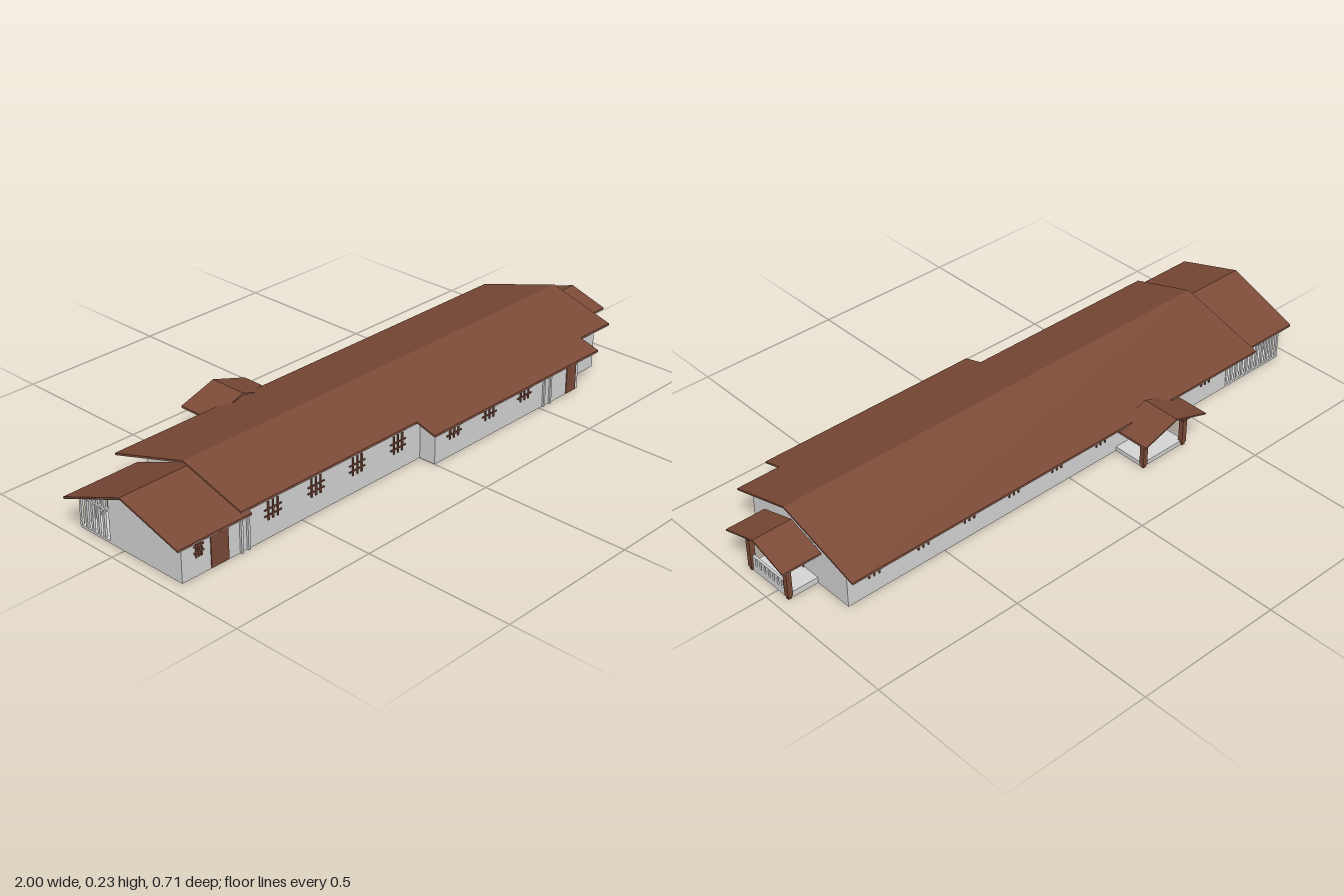
import * as THREE from 'three';

const mat = (name, color, side = THREE.FrontSide) => {
  const m = new THREE.MeshStandardMaterial({ color, side });
  m.name = name;
  return m;
};

export function createModel() {
  const wall = mat('pale grey plaster', 0xd6d6d6);
  const brown = mat('red brown', 0x7c4a37);
  const blue = mat('sign blue', 0x0e2872);
  const model = new THREE.Group();
  model.name = 'longHouse';

  const add = (parent, name, geo, material) => {
    const m = new THREE.Mesh(geo, material);
    m.name = name;
    parent.add(m);
    return m;
  };
  // Box given by its limits on each axis
  const box = (parent, name, x0, x1, y0, y1, z0, z1, material) =>
    add(parent, name, new THREE.BoxGeometry(x1 - x0, y1 - y0, z1 - z0), material)
      .position.set((x0 + x1) / 2, (y0 + y1) / 2, (z0 + z1) / 2);
  const shapeOf = pts => new THREE.Shape(pts.map(p => new THREE.Vector2(...p)));
  const extrude = (shape, depth) =>
    new THREE.ExtrudeGeometry(shape, { depth, bevelEnabled: false, curveSegments: 6 });
  // Profile of [z, y] points swept along x
  const sweepX = (parent, name, pts, x0, x1, material) => {
    const g = extrude(shapeOf(pts.map(([z, y]) => [-z, y])), x1 - x0).rotateY(Math.PI / 2);
    add(parent, name, g, material).position.x = x0;
  };
  // Sloping sheet: a line of points thickened downwards
  const sheet = (line, t, drop = 0) => [
    ...line.map(([u, y]) => [u, y - drop]),
    ...line.map(([u, y]) => [u, y - drop - t]).reverse()];
  const roofX = (name, line, x0, x1) => {
    sweepX(model, name, sheet(line, 0.006), x0, x1, brown);
    sweepX(model, name + 'Soffit', sheet(line, 0.002, 0.006), x0 + 0.002, x1 - 0.002, wall);
  };

  // Wall blocks
  sweepX(model, 'mainWalls',
    [[0.24, 0], [0.24, 0.165], [0.05, 0.222], [-0.19, 0.15], [-0.19, 0]], -0.7, 0.855, wall);
  sweepX(model, 'frontBayWalls',
    [[0.3, 0], [0.3, 0.147], [0.2, 0.177], [0.2, 0]], 0, 0.695, wall);
  sweepX(model, 'wingWalls',
    [[0.24, 0], [0.24, 0.145], [0.05, 0.202], [-0.06, 0.158], [-0.06, 0]], -0.955, -0.7, wall);

  // Roofs
  roofX('mainRoof', [[0.28, 0.161], [0.05, 0.23], [-0.25, 0.14]], -0.77, 0.88);
  roofX('frontBayRoof', [[0.35, 0.14], [0.279, 0.1613]], -0.06, 0.73);
  roofX('wingRoof', [[0.28, 0.141], [0.05, 0.21], [-0.2, 0.113]], -1, -0.73);

  // Barred verandah at the back of the wing
  const verandah = new THREE.Group();
  verandah.name = 'verandah';
  model.add(verandah);
  box(verandah, 'verandahFloor', -0.955, -0.7, 0, 0.008, -0.19, -0.06, wall);
  box(verandah, 'backTopRail', -0.955, -0.7, 0.1, 0.108, -0.19, -0.182, wall);
  box(verandah, 'sideTopRail', -0.955, -0.947, 0.1, 0.108, -0.182, -0.06, wall);
  for (let i = 0; i < 11; i++) {
    const x = -0.955 + i * 0.0245;
    box(verandah, 'backBar', x, x + 0.008, 0.008, 0.1, -0.19, -0.182, wall);
  }
  for (let i = 1; i < 5; i++) {
    const z = -0.19 + i * 0.0255, top = 0.104 + i * 0.01;
    box(verandah, 'sideBar', -0.955, -0.947, 0.008, top, z, z + 0.008, wall);
  }

  // Windows: lattice of thin bars, w is half the width
  const lattice = (x, z, w, top = 0.12) => {
    const g = new THREE.Group();
    g.name = 'window';
    const z0 = z - 0.004, z1 = z + 0.004;
    for (const dx of [-0.55, 0, 0.55])
      box(g, 'upright', x + dx * w - 0.0025, x + dx * w + 0.0025, 0.06, top, z0, z1, brown);
    for (const y of [0.075, 0.095])
      box(g, 'crossBar', x - w, x + w, y - 0.002, y + 0.002, z0, z1, brown);
    model.add(g);
  };
  lattice(-0.893, 0.24, 0.018);
  for (const x of [-0.615, -0.445, -0.275, -0.1]) lattice(x, 0.24, 0.033);
  for (const x of [0.085, 0.25, 0.42]) lattice(x, 0.3, 0.034);
  for (const x of [0.76, 0.58, 0.405, 0.23, 0.055, -0.13, -0.43, -0.6]) lattice(x, -0.19, 0.033);

  // Front doors and pilasters
  box(model, 'wingDoor', -0.85, -0.785, 0.002, 0.124, 0.236, 0.243, brown);
  box(model, 'bayDoor', 0.635, 0.682, 0.002, 0.116, 0.296, 0.303, brown);
  for (const x of [-0.742, -0.716]) box(model, 'wingPilaster', x, x + 0.008, 0, 0.145, 0.23, 0.247, wall);
  for (const x of [0.514, 0.546]) box(model, 'bayPilaster', x, x + 0.008, 0, 0.146, 0.29, 0.306, wall);

  // Gabled porch: local +z points away from the wall
  const porch = (name, { d, inner, post, drop, slab }) => {
    const g = new THREE.Group();
    g.name = name;
    const ridge = 0.185 - drop, eave = 0.143 - drop;
    const line = [[-0.132, eave], [0, ridge], [0.132, eave]];
    add(g, 'porchRoof', extrude(shapeOf(sheet(line, 0.005).reverse()), d - inner), brown).position.z = inner;
    add(g, 'porchSoffit', extrude(shapeOf(sheet(line, 0.002, 0.005)), d - inner - 0.004), wall)
      .position.z = inner + 0.002;
    // Gable panel with its sign, and a flat ceiling
    add(g, 'gablePanel', extrude(shapeOf([[-0.095, eave], [0.095, eave], [0.095, eave + 0.004],
      [0, ridge - 0.008], [-0.095, eave + 0.004]]), 0.008), wall).position.z = post - 0.004;
    box(g, 'porchCeiling', -0.095, 0.095, eave - 0.002, eave + 0.001, 0, post + 0.004, wall);
    box(g, 'sign', -0.026, 0.026, eave + 0.004, eave + 0.024, post + 0.003, post + 0.008, blue);
    box(g, 'porchFloor', -0.09, 0.09, 0, slab, 0, post, wall);
    // Square posts with flared capitals
    for (const s of [-1, 1]) {
      const x = s * 0.086, top = 0.115 - drop;
      const p = new THREE.Group();
      p.name = 'porchPost';
      box(p, 'foot', x - 0.006, x + 0.006, 0, 0.012, post - 0.006, post + 0.006, brown);
      box(p, 'shaft', x - 0.0085, x + 0.0085, 0.01, top, post - 0.0085, post + 0.0085, brown);
      const cap = new THREE.CylinderGeometry(0.014 * Math.SQRT2, 0.0085 * Math.SQRT2, 0.008, 4).rotateY(Math.PI / 4);
      add(p, 'capital', cap, brown).position.set(x, top + 0.002, post);
      box(p, 'capitalPlate', x - 0.015, x + 0.015, top + 0.005, top + 0.01, post - 0.015, post + 0.015, brown);
      box(p, 'neck', x - 0.005, x + 0.005, top + 0.008, eave + 0.011, post - 0.005, post + 0.005, brown);
      g.add(p);
    }
    model.add(g);
    return g;
  };

  const back = porch('backPorch', { d: 0.165, inner: 0.03, post: 0.115, drop: 0.02, slab: 0.015 });
  back.position.set(-0.29, 0, -0.19);
  back.rotation.y = Math.PI;
  const side = porch('sidePorch', { d: 0.145, inner: 0.01, post: 0.1, drop: 0, slab: 0.02 });
  side.position.set(0.855, 0, 0.038);
  side.rotation.y = Math.PI / 2;

  // Balustrade with round-ended openings on the side porch
  const panel = shapeOf([[-0.08, 0], [0.08, 0], [0.08, 0.054], [-0.08, 0.054]]);
  for (let i = -3; i <= 3; i++) {
    const h = new THREE.Path(), x = i * 0.0205;
    h.moveTo(x - 0.004, 0.027);
    h.absarc(x, 0.027, 0.004, Math.PI, 2 * Math.PI, false);
    h.absarc(x, 0.045, 0.004, 0, Math.PI, false);
    h.closePath();
    panel.holes.push(h);
  }
  add(side, 'balustrade', extrude(panel, 0.008), wall).position.z = 0.094;

  // Framed doors with a two-pane transom behind each porch
  for (const g of [back, side]) {
    const frame = new THREE.Group();
    frame.name = 'porchDoorFrame';
    for (const x of [-0.027, 0.024]) box(frame, 'jamb', x, x + 0.003, 0.02, 0.123, -0.002, 0.004, brown);
    for (const y of [0.104, 0.121]) box(frame, 'rail', -0.027, 0.027, y, y + 0.003, -0.002, 0.004, brown);
    for (const x of [-0.01, 0.007]) box(frame, 'transomBar', x, x + 0.003, 0.104, 0.123, -0.002, 0.004, brown);
    g.add(frame);
  }
  return model;
}
